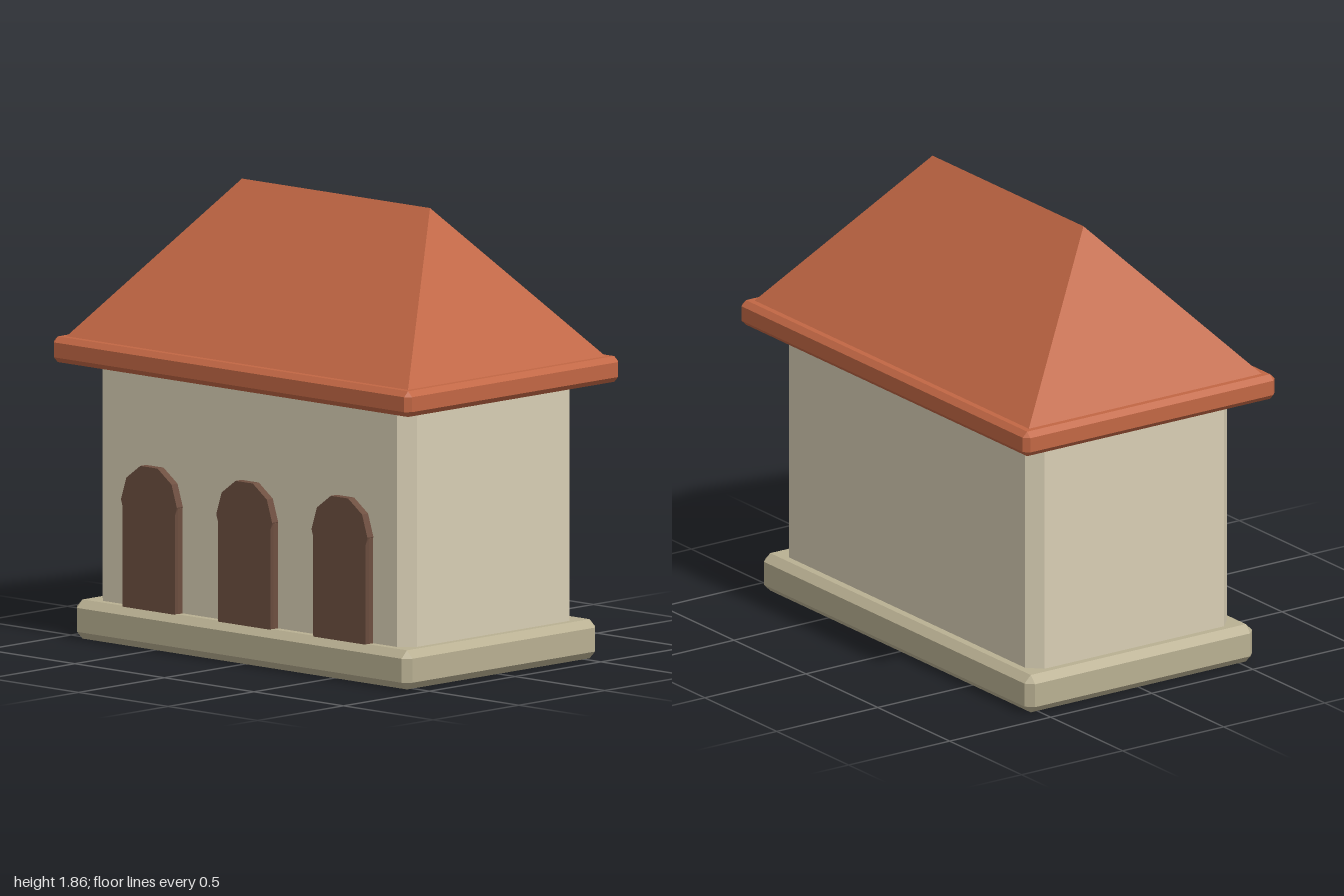
import * as THREE from 'three';
import { ConvexGeometry } from 'three/addons/geometries/ConvexGeometry.js';

const mat = (name, color) => {
  const m = new THREE.MeshStandardMaterial({ color, flatShading: true });
  m.name = name;
  return m;
};

// Box from y0 to y1 with half sizes hx, hz and every edge chamfered by c.
function chamferBox(hx, y0, y1, hz, c) {
  const hy = (y1 - y0) / 2, cy = (y0 + y1) / 2, pts = [];
  for (const sx of [-1, 1]) for (const sy of [-1, 1]) for (const sz of [-1, 1]) {
    pts.push(
      new THREE.Vector3(sx * hx, cy + sy * (hy - c), sz * (hz - c)),
      new THREE.Vector3(sx * (hx - c), cy + sy * hy, sz * (hz - c)),
      new THREE.Vector3(sx * (hx - c), cy + sy * (hy - c), sz * hz));
  }
  return new ConvexGeometry(pts);
}

export function createModel() {
  const group = new THREE.Group();
  const wallMat = mat('plaster', 0xd8ceb4);
  const baseMat = mat('stone', 0xb9b092);
  const roofMat = mat('terracotta', 0xc26744);
  const doorMat = mat('darkWood', 0x6e4f40);

  const add = (name, geometry, material, parent = group) => {
    const mesh = new THREE.Mesh(geometry, material);
    mesh.name = name;
    parent.add(mesh);
    return mesh;
  };

  // Plinth, walls and eaves
  add('plinth', chamferBox(0.937, 0, 0.16, 0.563, 0.031), baseMat);
  add('walls', chamferBox(0.877, 0.1, 1.19, 0.5, 0.056), wallMat);
  add('eaves', chamferBox(1, 1.13, 1.235, 0.623, 0.022), roofMat);

  // Hipped roof: rectangle at the eaves, short ridge on top
  const roofPts = [];
  for (const sx of [-1, 1]) {
    roofPts.push(new THREE.Vector3(sx * 0.525, 1.86, 0));
    for (const sz of [-1, 1]) roofPts.push(new THREE.Vector3(sx * 0.957, 1.23, sz * 0.58));
  }
  add('hippedRoof', new ConvexGeometry(roofPts), roofMat);

  // Three arched doors: a panel with a ten-sided disc for the head
  const panelGeo = chamferBox(0.155, 0.145, 0.6, 0.035, 0.009);
  const headGeo = new THREE.CylinderGeometry(0.156, 0.156, 0.07, 10);
  headGeo.rotateY(Math.PI / 2).rotateX(Math.PI / 2);
  ['rightDoor', 'middleDoor', 'leftDoor'].forEach((name, i) => {
    const door = new THREE.Group();
    door.name = name;
    door.position.set((i - 1) * 0.532, 0, 0.5);
    add('doorPanel', panelGeo, doorMat, door);
    add('doorArch', headGeo, doorMat, door).position.y = 0.595;
    group.add(door);
  });

  return group;
}
